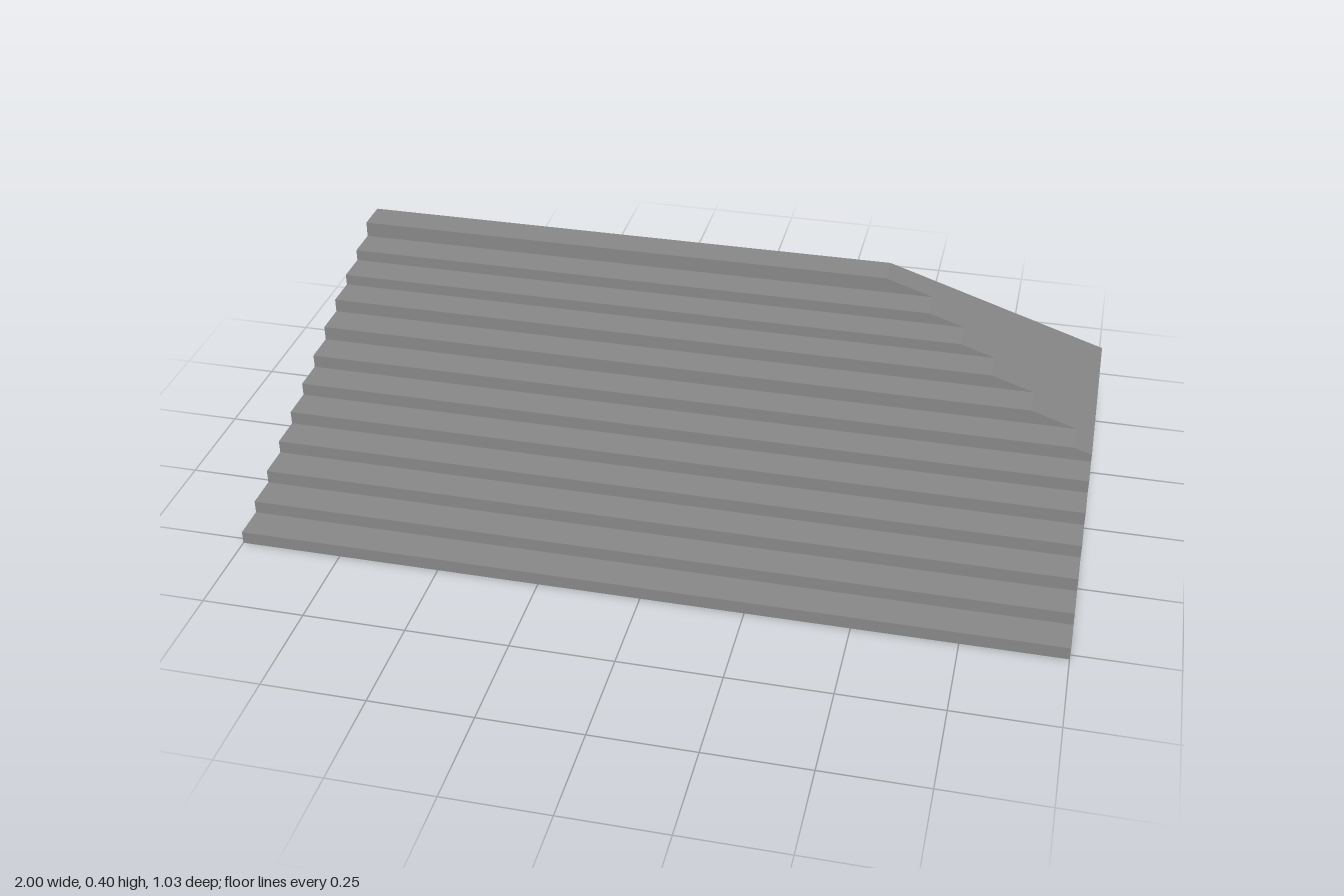
import * as THREE from 'three';

// Height of each tread, from the front step to the back one
const heights = [0.032, 0.064, 0.098, 0.131, 0.165, 0.198, 0.232, 0.269, 0.304, 0.333, 0.363, 0.404];
const halfWidth = 1, halfDepth = 0.516;
const tread = (2 * halfDepth) / heights.length;
const top = heights[heights.length - 1];

// Sloped cut at the left end: from (slopeX, top) down to (halfWidth, slopeY)
const slopeX = 0.43, slopeY = 0.218;
const endX = y => Math.min(halfWidth, slopeX + (top - y) * (halfWidth - slopeX) / (top - slopeY));

// Flat convex polygons, corners counter-clockwise from outside, joined in one mesh
function faceMesh(name, polygons, material) {
  const points = [];
  for (const p of polygons) {
    for (let i = 1; i < p.length - 1; i++) points.push(...p[0], ...p[i], ...p[i + 1]);
  }
  const geometry = new THREE.BufferGeometry();
  geometry.setAttribute('position', new THREE.Float32BufferAttribute(points, 3));
  geometry.computeVertexNormals();
  const mesh = new THREE.Mesh(geometry, material);
  mesh.name = name;
  return mesh;
}

// Upright section between two heights, following the sloped end
function section(y0, y1, z) {
  const p = [[-halfWidth, y0, z], [endX(y0), y0, z]];
  if (y0 < slopeY && y1 > slopeY) p.push([halfWidth, slopeY, z]);
  p.push([endX(y1), y1, z], [-halfWidth, y1, z]);
  return p;
}

export function createModel() {
  const group = new THREE.Group();
  group.name = 'steps';
  const material = new THREE.MeshStandardMaterial({ color: 0x888888, flatShading: true });
  const treads = [], risers = [], leftEnd = [], rightEnd = [], slope = [];
  const w = halfWidth;

  heights.forEach((h, i) => {
    const z0 = halfDepth - i * tread, z1 = z0 - tread;
    const x = endX(h), sideTop = Math.min(h, slopeY);
    treads.push([[-w, h, z0], [x, h, z0], [x, h, z1], [-w, h, z1]]);
    risers.push(section(i ? heights[i - 1] : 0, h, z0));
    rightEnd.push([[-w, 0, z1], [-w, 0, z0], [-w, h, z0], [-w, h, z1]]);
    leftEnd.push([[w, 0, z0], [w, 0, z1], [w, sideTop, z1], [w, sideTop, z0]]);
    if (h > slopeY) slope.push([[x, h, z0], [w, slopeY, z0], [w, slopeY, z1], [x, h, z1]]);
  });

  // Back wall and underside close the solid
  const back = [section(0, top, -halfDepth).reverse()];
  const base = [[[-w, 0, -halfDepth], [w, 0, -halfDepth], [w, 0, halfDepth], [-w, 0, halfDepth]]];

  const parts = { treads, risers, leftEnd, rightEnd, slope, back, base };
  for (const [name, polygons] of Object.entries(parts)) group.add(faceMesh(name, polygons, material));
  return group;
}
